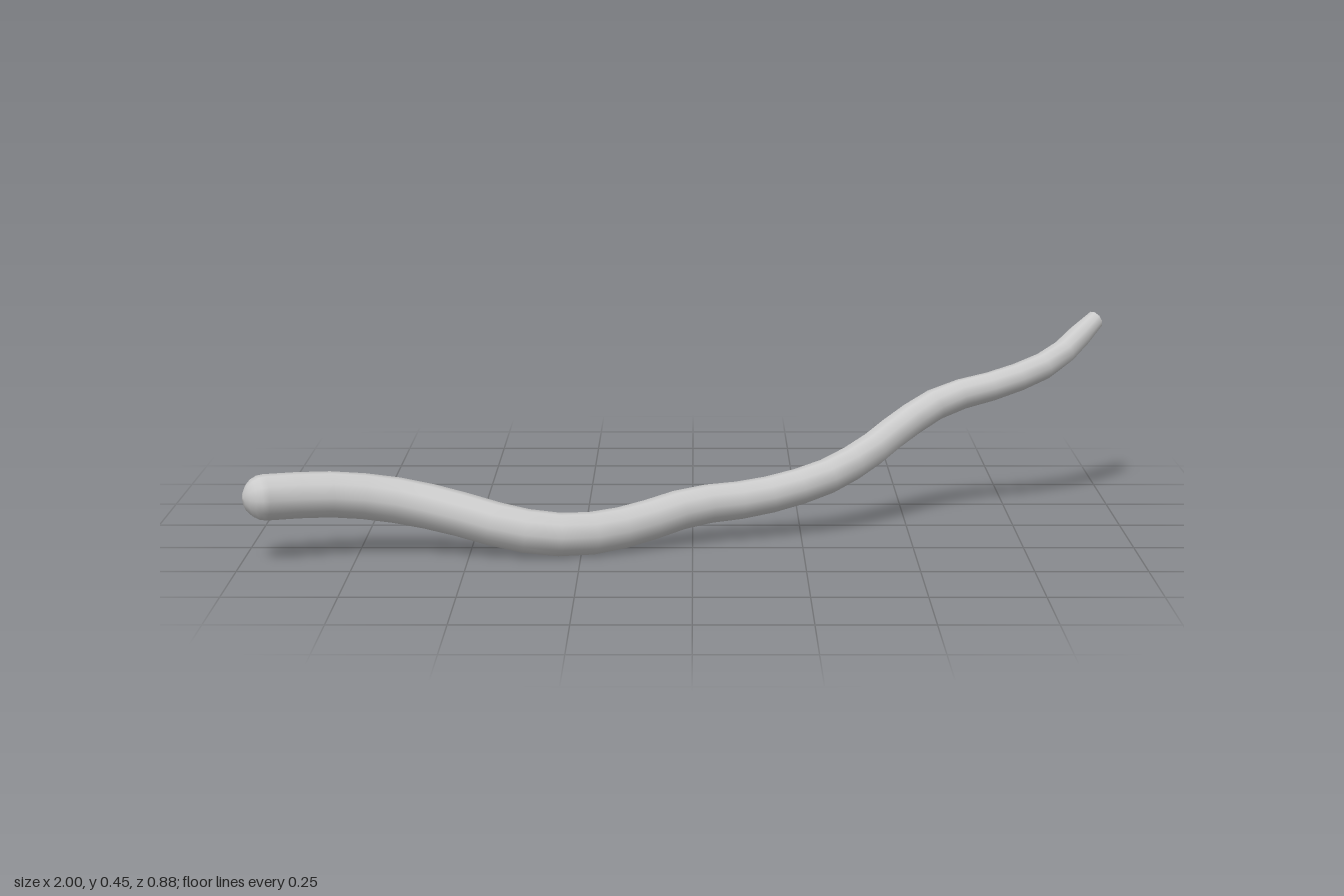
import * as THREE from 'three';

// Spine points with the branch radius at each: x, y, z, r
const SPINE = [
  [-0.995, 0.148, 0.408, 0.052], [-0.95, 0.148, 0.39, 0.052], [-0.8, 0.143, 0.33, 0.052],
  [-0.65, 0.122, 0.302, 0.052], [-0.5, 0.091, 0.322, 0.05], [-0.4, 0.066, 0.338, 0.05],
  [-0.27, 0.05, 0.325, 0.049], [-0.15, 0.057, 0.272, 0.047], [0, 0.087, 0.188, 0.045],
  [0.15, 0.097, 0.13, 0.043], [0.3, 0.13, 0.072, 0.041], [0.4, 0.17, -0.005, 0.04],
  [0.5, 0.225, -0.112, 0.039], [0.6, 0.272, -0.18, 0.037], [0.75, 0.308, -0.228, 0.034],
  [0.87, 0.35, -0.295, 0.032], [0.975, 0.424, -0.415, 0.027], [0.985, 0.43, -0.424, 0.023],
];
const SIDES = 10;
const STEPS = 30;

// Rounded butt: a quarter circle over the first stretch of the spine
const CAP = 0.05;
const CAP_STEPS = 5;

function branchGeometry() {
  const curve = new THREE.CatmullRomCurve3(SPINE.map(([x, y, z]) => new THREE.Vector3(x, y, z)));
  const length = curve.getLength();

  // Stations along the spine: dense in the rounded butt, even after it
  const stations = [];
  for (let i = 0; i < CAP_STEPS; i++) {
    const a = (i / CAP_STEPS) * Math.PI / 2;
    stations.push([(CAP * (1 - Math.cos(a))) / length, Math.sin(a)]);
  }
  for (let i = 0; i <= STEPS; i++) {
    const u = CAP / length;
    stations.push([u + (1 - u) * i / STEPS, 1]);
  }

  const positions = [];
  const index = [];
  const side = new THREE.Vector3();
  const up = new THREE.Vector3();
  const p = new THREE.Vector3();
  stations.forEach(([u, scale], row) => {
    const centre = curve.getPointAt(u);
    const tangent = curve.getTangentAt(u);
    side.crossVectors(tangent, new THREE.Vector3(0, 1, 0)).normalize();
    up.crossVectors(side, tangent);
    // Radius taken between the two nearest spine points
    const t = curve.getUtoTmapping(u) * (SPINE.length - 1);
    const k = Math.min(Math.floor(t), SPINE.length - 2);
    const r = scale * THREE.MathUtils.lerp(SPINE[k][3], SPINE[k + 1][3], t - k);
    for (let j = 0; j < SIDES; j++) {
      const a = (j / SIDES) * Math.PI * 2;
      p.copy(centre).addScaledVector(side, r * Math.cos(a)).addScaledVector(up, r * Math.sin(a));
      positions.push(p.x, p.y, p.z);
      if (row === 0) continue;
      const n = (j + 1) % SIDES;
      const b = row * SIDES;
      const c = b - SIDES;
      index.push(c + j, b + j, c + n, c + n, b + j, b + n);
    }
  });

  // Flat cut at the thin tip, with its own vertices for a crisp edge
  const first = positions.length / 3;
  positions.push(...positions.slice(-SIDES * 3));
  for (let j = 1; j < SIDES - 1; j++) index.push(first, first + j + 1, first + j);

  const geometry = new THREE.BufferGeometry();
  geometry.setAttribute('position', new THREE.Float32BufferAttribute(positions, 3));
  geometry.setIndex(index);
  geometry.computeVertexNormals();
  return geometry;
}

export function createModel() {
  const group = new THREE.Group();
  group.name = 'stick';
  const branch = new THREE.Mesh(branchGeometry(), new THREE.MeshStandardMaterial({ color: 0xcccccc }));
  branch.name = 'branch';
  group.add(branch);
  return group;
}
